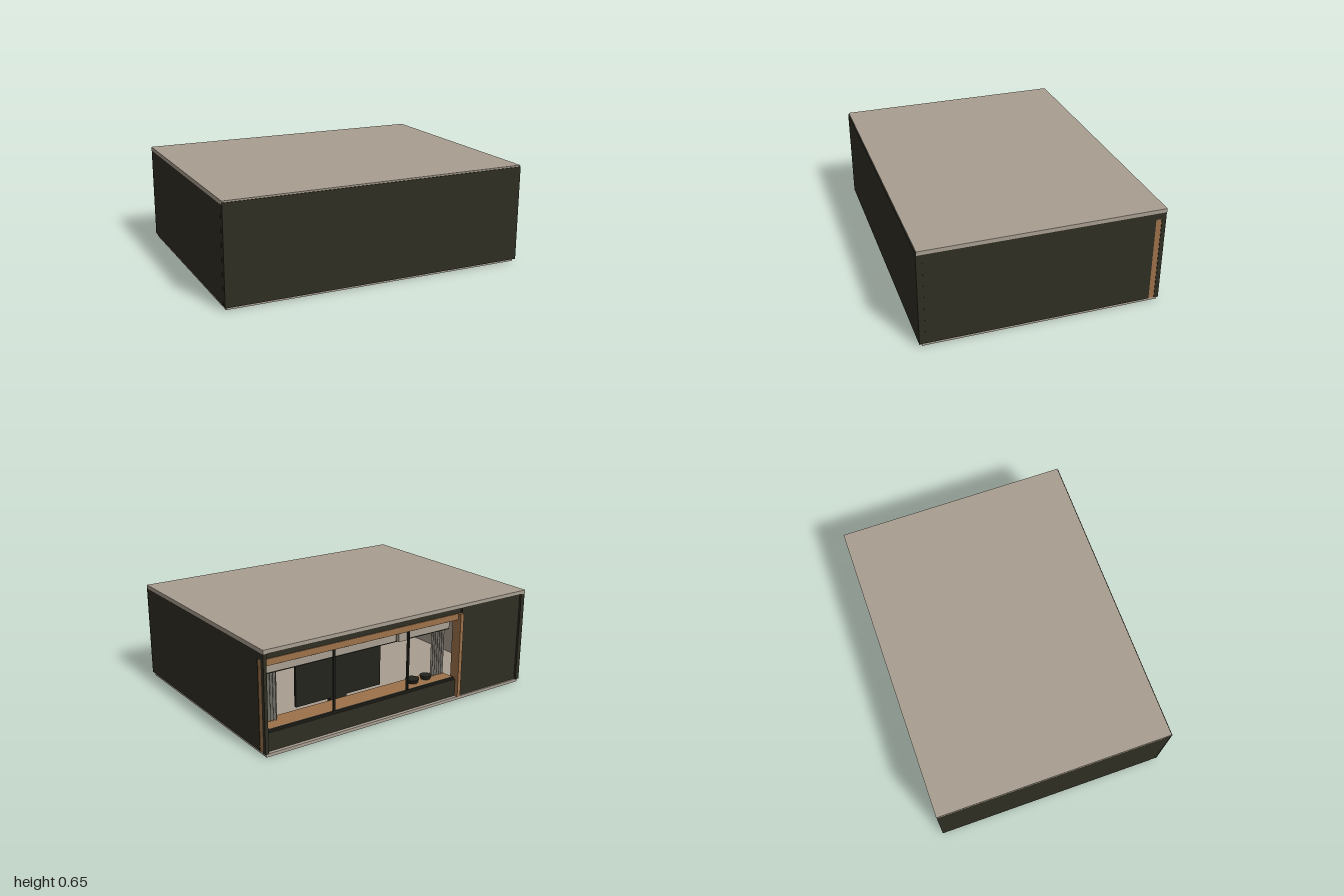
import * as THREE from 'three';

const mat = (name, color) => {
  const m = new THREE.MeshStandardMaterial({ color });
  m.name = name;
  return m;
};

export function createModel() {
  const root = new THREE.Group();
  root.name = 'roomModule';
  const stone = mat('warmStone', 0xa89e90);
  const dark = mat('darkCladding', 0x2f2e23);
  const wood = mat('oak', 0x9c714a);
  const fabric = mat('curtainFabric', 0xa09a90);
  fabric.side = THREE.DoubleSide;
  const black = mat('blackDevice', 0x23231d);

  // Box given by its two extreme corners
  const box = (name, m, x0, x1, y0, y1, z0, z1, parent = root) => {
    const mesh = new THREE.Mesh(new THREE.BoxGeometry(x1 - x0, y1 - y0, z1 - z0), m);
    mesh.position.set((x0 + x1) / 2, (y0 + y1) / 2, (z0 + z1) / 2);
    mesh.name = name;
    parent.add(mesh);
    return mesh;
  };

  // Floor and roof slabs
  box('floorSlab', stone, -0.99, 0.99, 0, 0.02, -0.76, 0.75);
  box('roofSlab', stone, -1, 1, 0.625, 0.65, -0.767, 0.763);

  // Outer walls
  box('frontWall', dark, -1, 1, 0.018, 0.64, 0.763, 0.768);
  box('frontWallCore', dark, -0.998, 0.998, 0.02, 0.625, 0.73, 0.763);
  box('leftWall', dark, 0.97, 0.999, 0.02, 0.625, -0.7, 0.73);
  box('rightWall', dark, -0.999, -0.97, 0.02, 0.625, -0.765, 0.73);
  box('backWall', dark, -0.97, -0.465, 0.02, 0.625, -0.75, -0.71);
  box('cornerPost', dark, 0.978, 0.999, 0.02, 0.625, -0.765, -0.737);
  box('windowHeader', dark, -0.465, 0.999, 0.583, 0.625, -0.737, -0.7);
  box('windowParapet', dark, -0.44, 0.965, 0.02, 0.135, -0.737, -0.7);

  // Inner wall linings
  box('leftLining', wood, 0.95, 0.97, 0.02, 0.625, -0.69, 0.72);
  box('frontLining', stone, -0.97, 0.95, 0.02, 0.625, 0.715, 0.73);
  box('rightLining', stone, -0.97, -0.955, 0.02, 0.625, -0.7, 0.715);

  // Timber window surround
  const frame = new THREE.Group();
  frame.name = 'windowFrame';
  root.add(frame);
  box('leftJamb', wood, 0.965, 0.996, 0.02, 0.583, -0.737, -0.7, frame);
  box('rightJamb', wood, -0.465, -0.44, 0.02, 0.583, -0.765, -0.69, frame);
  box('topRail', wood, -0.44, 0.965, 0.543, 0.583, -0.742, -0.7, frame);
  box('sill', wood, -0.44, 0.95, 0.13, 0.143, -0.715, -0.57, frame);

  // Slim sash frames
  box('sashTop', black, -0.44, 0.965, 0.535, 0.543, -0.725, -0.71, frame);
  box('sashBottom', black, -0.44, 0.965, 0.135, 0.146, -0.725, -0.71, frame);
  for (const x of [0.5, -0.055])
    box('mullion', black, x - 0.005, x + 0.005, 0.14, 0.54, -0.728, -0.71, frame);
  box('windowVent', stone, -0.055, 0.01, 0.475, 0.53, -0.708, -0.68, frame);

  // Bulkhead hiding the curtain track
  box('curtainBulkhead', stone, -0.44, 0.95, 0.465, 0.6, -0.66, -0.64);
  box('curtainTrack', black, -0.44, 0.95, 0.458, 0.465, -0.66, -0.64);

  // Folded curtains at both ends
  const curtain = (name, x0, x1) => {
    const g = new THREE.PlaneGeometry(x1 - x0, 0.33, 48, 1);
    const p = g.attributes.position;
    for (let i = 0; i < p.count; i++)
      p.setZ(i, 0.016 * Math.sin(((p.getX(i) / (x1 - x0)) + 0.5) * Math.PI * 12));
    g.computeVertexNormals();
    const mesh = new THREE.Mesh(g, fabric);
    mesh.position.set((x0 + x1) / 2, 0.308, -0.615);
    mesh.name = name;
    root.add(mesh);
  };
  curtain('leftCurtain', 0.83, 0.945);
  curtain('rightCurtain', -0.44, -0.33);

  // Screen on a pedestal
  const screen = new THREE.Group();
  screen.name = 'screen';
  root.add(screen);
  box('panel', black, -0.01, 0.626, 0.12, 0.48, -0.5, -0.48, screen);
  box('pedestal', black, 0.25, 0.37, 0.03, 0.12, -0.495, -0.46, screen);
  box('foot', black, 0.18, 0.44, 0.02, 0.032, -0.54, -0.42, screen);

  // Small items on the sill
  for (const [x, r] of [[-0.17, 0.045], [-0.28, 0.038]]) {
    const dish = new THREE.Mesh(new THREE.CylinderGeometry(r, r * 0.8, 0.025, 20), black);
    dish.position.set(x, 0.156, -0.63);
    dish.name = 'sillDish';
    root.add(dish);
  }
  return root;
}
